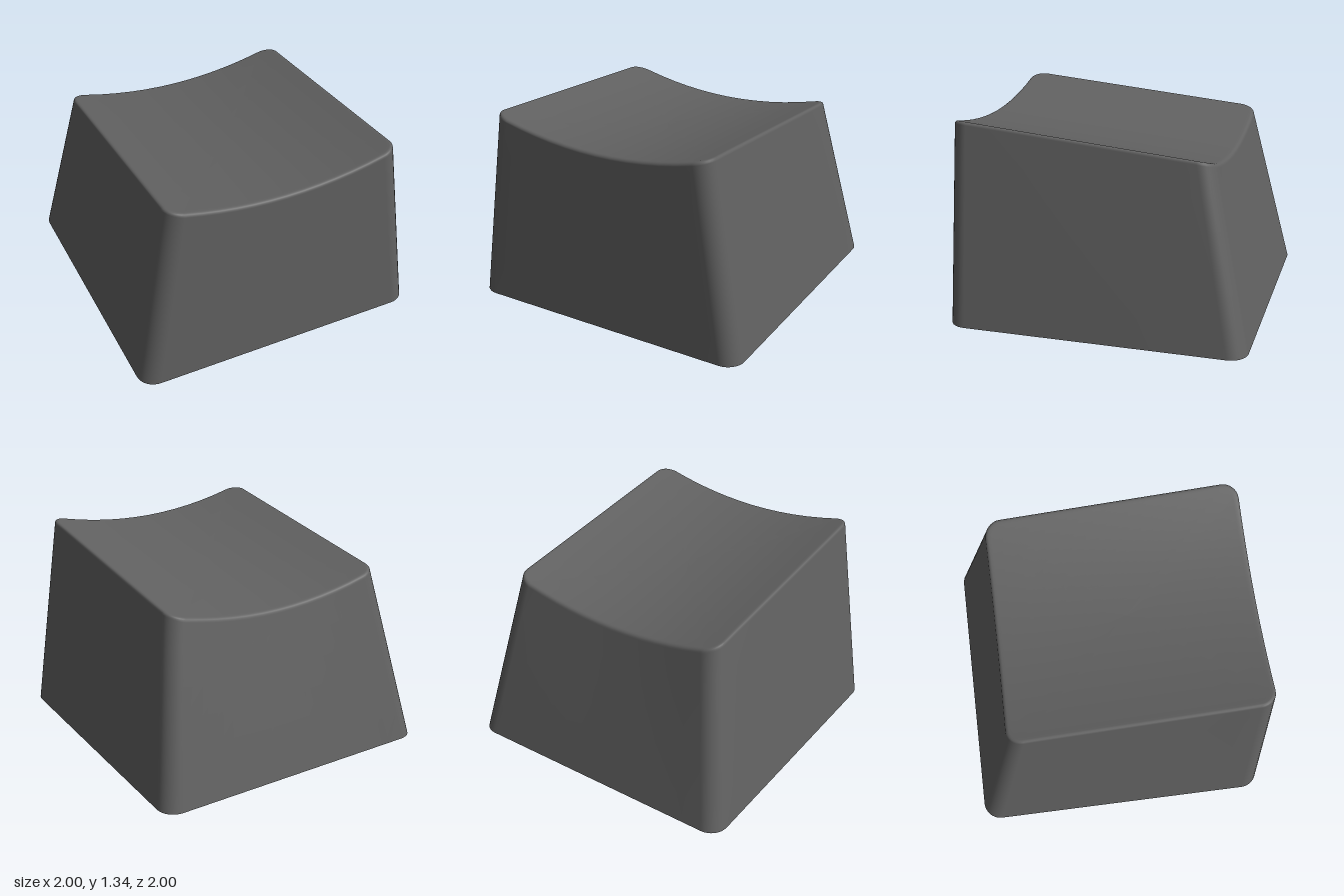
import * as THREE from 'three';
import { toCreasedNormals } from 'three/addons/utils/BufferGeometryUtils.js';

const material = new THREE.MeshStandardMaterial({ color: 0x616161 });
const CORNER = 8, SIDE = 12;
const COUNT = 4 * (CORNER + SIDE);

// Rounded rectangle outline, running from +x towards +z
function outline(halfW, back, front, r) {
  const centres = [
    [halfW - r, front - r], [-halfW + r, front - r],
    [-halfW + r, back + r], [halfW - r, back + r],
  ];
  const pts = [];
  centres.forEach(([cx, cz], q) => {
    for (let k = 0; k <= CORNER; k++) {
      const a = (q + k / CORNER) * Math.PI / 2;
      pts.push([cx + r * Math.cos(a), cz + r * Math.sin(a)]);
    }
    // straight side towards the next corner
    const [nx, nz] = centres[(q + 1) % 4];
    const [sx, sz] = pts[pts.length - 1];
    for (let k = 1; k < SIDE; k++) {
      pts.push([sx + (nx - cx) * k / SIDE, sz + (nz - cz) * k / SIDE]);
    }
  });
  return pts;
}

// Tapered plan from base (t = 0) to top edge (t = 1), shrunk by inset
const plan = (t, inset, r) =>
  outline(1 - 0.207 * t - inset, -1 + 0.267 * t + inset, 1 - inset, r);

// Sloped, dished top surface
const topHeight = (x, z) => 1.24 + 0.094 * (z - 1) + 0.19 * x * x;

// Ring just under the top surface
const topRing = (inset, drop) =>
  plan(1, inset, 0.11 - inset).map(([x, z]) => [x, topHeight(x, z) - drop, z]);

// Level ring for the base and the hollow
const flatRing = (y, inset, r) => plan(y / 1.25, inset, r).map(([x, z]) => [x, y, z]);

// Skin between successive closed rings
function loft(rings) {
  const index = [];
  for (let j = 0; j < rings.length - 1; j++) {
    for (let i = 0; i < COUNT; i++) {
      const n = (i + 1) % COUNT;
      const a = j * COUNT + i, b = j * COUNT + n;
      index.push(a, a + COUNT, b, b, a + COUNT, b + COUNT);
    }
  }
  const g = new THREE.BufferGeometry();
  g.setAttribute('position', new THREE.Float32BufferAttribute(rings.flat(2), 3));
  g.setIndex(index);
  g.computeVertexNormals();
  return g;
}

export function createModel() {
  const model = new THREE.Group();
  model.name = 'keycap';
  const add = (name, geometry, parent = model) => {
    const mesh = new THREE.Mesh(geometry, material);
    mesh.name = name;
    parent.add(mesh);
    return mesh;
  };

  // Outer walls, ruled from the base to the top edge
  const fillet = 0.025;
  const base = flatRing(0, 0, 0.12), shoulder = topRing(0, fillet);
  const rings = [];
  for (let k = 0; k <= 6; k++) {
    rings.push(base.map((p, i) => p.map((v, c) => v + (shoulder[i][c] - v) * k / 6)));
  }
  // Rounded top edge
  for (let k = 1; k <= 4; k++) {
    const a = k / 4 * Math.PI / 2;
    rings.push(topRing(fillet * (1 - Math.cos(a)), fillet * (1 - Math.sin(a))));
  }
  // Dished top
  const edge = rings[rings.length - 1], midZ = 0.14;
  for (const s of [0.98, 0.9, 0.75, 0.6, 0.45, 0.3, 0.15, 0]) {
    rings.push(edge.map(([px, , pz]) => {
      const x = px * s, z = midZ + (pz - midZ) * s;
      return [x, topHeight(x, z), z];
    }));
  }
  add('outerShell', loft(rings));

  // Flat bottom rim
  const wall = 0.11, ceiling = 0.97;
  add('bottomRim', loft([flatRing(0, wall, 0.09), base]));

  // Hollow inside: ceiling, rounded inner edge and walls
  const ceilingEdge = flatRing(ceiling, wall + 0.06, 0.06);
  const inside = [0, 0.5, 0.97].map(s =>
    ceilingEdge.map(([x, y, z]) => [x * s, y, 0.1 + (z - 0.1) * s]));
  for (let k = 0; k <= 5; k++) {
    const a = k / 5 * Math.PI / 2;
    inside.push(flatRing(ceiling - 0.06 * (1 - Math.cos(a)), wall + 0.06 * (1 - Math.sin(a)), 0.09));
  }
  inside.push(flatRing(0.45, wall, 0.09), flatRing(0, wall, 0.09));
  add('innerShell', loft(inside));

  // Mount: round stem with a cross-shaped socket
  const mount = new THREE.Group();
  mount.name = 'mount';
  mount.position.z = 0.085;
  model.add(mount);
  const stemBottom = 0.09;
  const disc = new THREE.Shape().absarc(0, 0, 0.292, 0, Math.PI * 2);
  const l = 0.22, w = 0.07;
  const cross = [[l, -w], [l, w], [w, w], [w, l], [-w, l], [-w, w],
    [-l, w], [-l, -w], [-w, -w], [-w, -l], [w, -l], [w, -w]];
  disc.holes.push(new THREE.Path(cross.map(([x, y]) => new THREE.Vector2(x, y)).reverse()));
  const stem = new THREE.ExtrudeGeometry(disc,
    { depth: ceiling + 0.01 - stemBottom, bevelEnabled: false, curveSegments: 8 });
  stem.rotateX(-Math.PI / 2);
  add('stem', toCreasedNormals(stem, 0.6), mount).position.y = stemBottom;

  // Support ribs from the stem under the ceiling
  const ribBottom = 0.6, ribHeight = ceiling + 0.01 - ribBottom;
  const rib = (name, dx, dz, end) => {
    const start = 0.25, len = end - start, mid = (start + end) / 2;
    const g = new THREE.BoxGeometry(dx ? len : 0.19, ribHeight, dz ? len : 0.19);
    add(name, g, mount).position.set(dx * mid, ribBottom + ribHeight / 2, dz * mid);
  };
  rib('leftRib', 1, 0, 0.78);
  rib('rightRib', -1, 0, 0.78);
  rib('frontRib', 0, 1, 0.78);
  rib('backRib', 0, -1, 0.78);

  return model;
}
